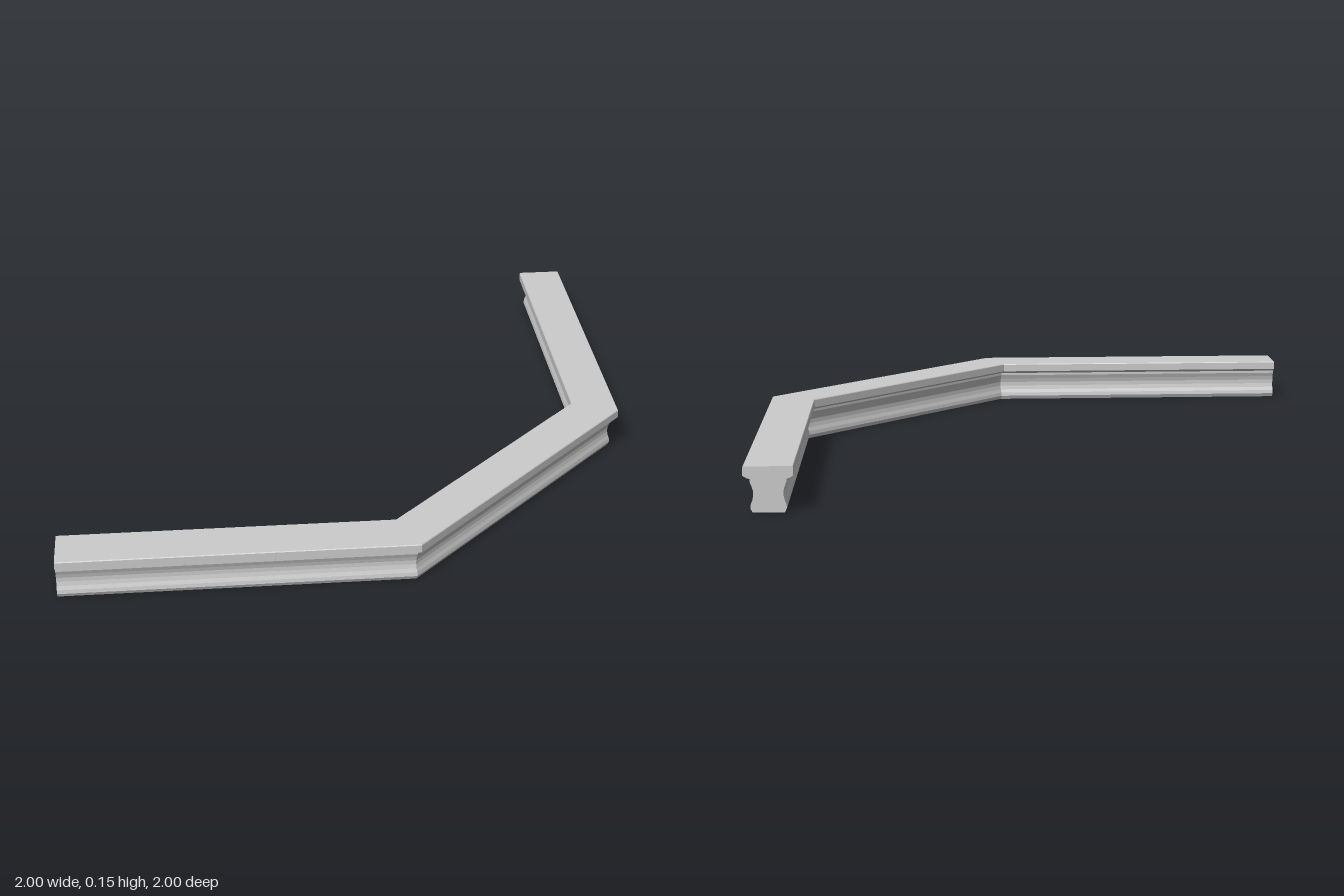
import * as THREE from 'three';

const WIDTH = 0.16;

// Outer half of the moulding section, top to bottom: [inset from outer face, height]
const SIDE = [
  [0.002, 0.15], [0, 0.147], [0, 0.12], [0.012, 0.112], [0.022, 0.109],
  [0.022, 0.1], [0.028, 0.085], [0.032, 0.07], [0.032, 0.055],
  [0.029, 0.04], [0.024, 0.027], [0.022, 0.014], [0.029, 0],
];

// Outer corners of the run [x, z] and the mitre shift per unit of inset
const T = Math.tan(Math.PI / 8);
const STATIONS = [
  { at: [-1, 1], shift: [0, -1] },
  { at: [0.18, 1], shift: [-T, -1] },
  { at: [1, 0.18], shift: [-1, -T] },
  { at: [1, -1], shift: [-1, 0] },
];

export function createModel() {
  const group = new THREE.Group();
  group.name = 'mouldedRail';

  // Symmetrical section
  const inner = SIDE.map(([d, y]) => [WIDTH - d, y]).reverse();
  const shape = new THREE.Shape([...SIDE, ...inner].map(([d, y]) => new THREE.Vector2(d, y)));

  // Straight extrusion, one step per run, bent onto the mitred path
  const runs = STATIONS.length - 1;
  const geometry = new THREE.ExtrudeGeometry(shape, { depth: runs, steps: runs, bevelEnabled: false });
  const p = geometry.attributes.position;
  for (let i = 0; i < p.count; i++) {
    const d = p.getX(i);
    const { at, shift } = STATIONS[Math.round(p.getZ(i))];
    p.setXYZ(i, at[0] + d * shift[0], p.getY(i), at[1] + d * shift[1]);
  }
  geometry.computeVertexNormals();

  const rail = new THREE.Mesh(
    geometry,
    new THREE.MeshStandardMaterial({ color: 0xcccccc, flatShading: true }),
  );
  rail.name = 'rail';
  group.add(rail);
  return group;
}
